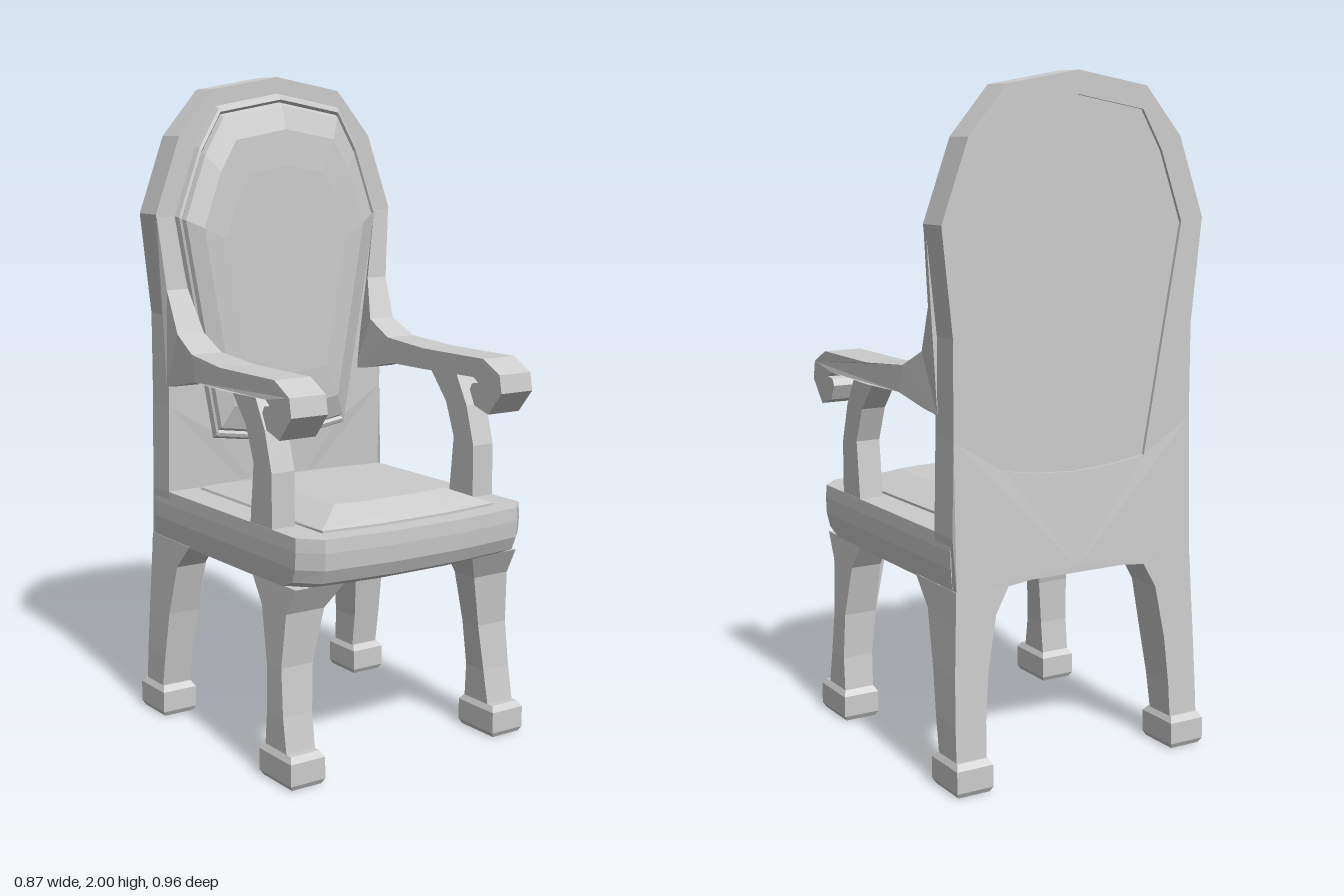
import * as THREE from 'three';

const material = new THREE.MeshStandardMaterial({ color: 0xcccccc, flatShading: true });
const lerp = THREE.MathUtils.lerp;

// Skin a list of equal-length rings of [x, y, z] points and cap both ends
function loft(rings) {
  const n = rings[0].length, pos = [], index = [];
  rings.forEach(r => r.forEach(p => pos.push(...p)));
  for (let k = 0; k < rings.length - 1; k++) {
    for (let i = 0; i < n; i++) {
      const a = k * n + i, b = k * n + (i + 1) % n;
      index.push(a, b, b + n, a, b + n, a + n);
    }
  }
  const cap = (k, flip) => {
    const c = pos.length / 3;
    for (let j = 0; j < 3; j++) pos.push(rings[k].reduce((s, p) => s + p[j], 0) / n);
    for (let i = 0; i < n; i++) {
      const a = k * n + i, b = k * n + (i + 1) % n;
      index.push(...(flip ? [c, b, a] : [c, a, b]));
    }
  };
  cap(0, true);
  cap(rings.length - 1, false);
  let g = new THREE.BufferGeometry();
  g.setAttribute('position', new THREE.Float32BufferAttribute(pos, 3));
  g.setIndex(index);
  g = g.toNonIndexed();
  g.computeVertexNormals();
  return g;
}

// Rectangular ring at height y; side mirrors it across x
const rect = (side, y, xIn, xOut, z0, z1) => {
  const a = Math.min(side * xIn, side * xOut), b = Math.max(side * xIn, side * xOut);
  return [[a, y, z0], [a, y, z1], [b, y, z1], [b, y, z0]];
};

// Full outline from its right half, bottom centre to top centre
const mirrorOutline = half =>
  [...half, ...half.slice(1, -1).reverse().map(([x, y]) => [-x, y])];
const toVectors = pts => pts.map(p => new THREE.Vector2(...p));

// Extrude a [z, y] profile across x, between inner and outer limits given per point
function sideSlab(side, profile, inner, outer) {
  const g = new THREE.ExtrudeGeometry(new THREE.Shape(toVectors(profile)), { depth: 1, bevelEnabled: false });
  g.rotateY(-Math.PI / 2);
  const p = g.attributes.position;
  for (let i = 0; i < p.count; i++) {
    const y = p.getY(i), z = p.getZ(i), t = -p.getX(i);
    const a = inner(y, z), b = outer(y, z);
    p.setX(i, side > 0 ? lerp(b, a, t) : lerp(-a, -b, t));
  }
  g.computeVertexNormals();
  return g;
}

export function createModel() {
  const chair = new THREE.Group();
  chair.name = 'armchair';
  const add = (name, geometry) => {
    const mesh = new THREE.Mesh(geometry, material);
    mesh.name = name;
    chair.add(mesh);
  };

  // Back frame with an opening for the upholstery
  const frame = mirrorOutline([[0, 0.6], [0.23, 0.575], [0.4, 0.575], [0.405, 0.73], [0.4, 1],
    [0.4, 1.28], [0.434, 1.587], [0.35, 1.82], [0.23, 1.96], [0, 2]]);
  const pad = mirrorOutline([[0, 0.86], [0.13, 0.868], [0.245, 0.885], [0.305, 1.22], [0.37, 1.58],
    [0.295, 1.79], [0.225, 1.91], [0, 1.95]]);
  const scaled = s => pad.map(([x, y]) => [x * s, 1.4 + (y - 1.4) * s]);
  const shape = new THREE.Shape(toVectors(frame));
  shape.holes.push(new THREE.Path(toVectors(scaled(0.97))));
  const back = new THREE.ExtrudeGeometry(shape, { depth: 0.102, bevelEnabled: false });
  back.translate(0, 0, -0.42);
  const bp = back.attributes.position;
  for (let i = 0; i < bp.count; i++) {
    if (bp.getY(i) < 0.65) bp.setZ(i, bp.getZ(i) - 0.014);
  }
  back.computeVertexNormals();
  add('backFrame', back);

  // Upholstered back with a raised border, recessed slightly behind
  add('backCushion', loft([[0.97, -0.41], [0.97, -0.33], [1, -0.32], [0.985, -0.3], [0.965, -0.296],
    [0.95, -0.306], [0.935, -0.29], [0.8, -0.266], [0.6, -0.26]]
    .map(([s, z]) => scaled(s).map(([x, y]) => [x, y, z]))));

  // Seat frame with bowed, rounded front
  add('seatFrame', loft([[0.575, -0.08, 0.4], [0.6, -0.022, 0.402], [0.64, -0.004, 0.405],
    [0.69, 0, 0.405], [0.73, -0.002, 0.403]].map(([y, f, w]) => [
    [-w, y, -0.41], [-w, y, 0.395 + f], [-0.345, y, 0.455 + f], [-0.12, y, 0.478 + f],
    [0.12, y, 0.478 + f], [0.345, y, 0.455 + f], [w, y, 0.395 + f], [w, y, -0.41]])));

  // Seat cushion: corner width front and back, front and back depth
  add('seatCushion', loft([[0.71, 0.31, 0.31, 0.387, -0.31, 0.02], [0.737, 0.31, 0.3, 0.387, -0.3, 0.02],
    [0.75, 0.275, 0.27, 0.355, -0.26, 0.025], [0.78, 0.2, 0.2, 0.285, -0.132, 0.016]]
    .map(([y, wf, wb, zf, zb, bow]) => [
      [-wb, y, zb], [-wf, y, zf], [-0.12, y, zf + bow], [0.12, y, zf + bow],
      [wf, y, zf], [wb, y, zb], [0, y, zb - bow]])));

  // Arm profile with scrolled end, sweeping up into the back
  const arm = [[-0.33, 1.58], [-0.317, 1.58], [-0.3, 1.36], [-0.25, 1.23], [-0.15, 1.18], [0.04, 1.165],
    [0.33, 1.165], [0.405, 1.125], [0.415, 1.07], [0.355, 1], [0.29, 1.02], [0.268, 1.065],
    [0.278, 1.085], [0.307, 1.09], [0.285, 1.105], [0.04, 1.1], [-0.13, 1.1], [-0.26, 1.07], [-0.33, 1.06]];
  const armInner = y => lerp(0.31, 0.375, THREE.MathUtils.smoothstep(y, 1.18, 1.58));
  const armOuter = (y, z) => y > 1.25
    ? lerp(0.4, 0.432, (y - 1.25) / 0.33)
    : lerp(0.4, 0.43, THREE.MathUtils.clamp((z + 0.3) / 0.34, 0, 1));
  const support = [[0.27, 0.72], [0.27, 0.89], [0.235, 1.01], [0.18, 1.11], [0.05, 1.11],
    [0.135, 1.01], [0.175, 0.905], [0.155, 0.72]];

  // Leg sections: y, inner x, outer x, back z, front z
  const frontLeg = [[0.08, 0.32, 0.417, 0.25, 0.365], [0.2, 0.317, 0.416, 0.26, 0.344],
    [0.34, 0.305, 0.412, 0.254, 0.33], [0.5, 0.275, 0.404, 0.217, 0.344], [0.58, 0.23, 0.4, 0.16, 0.388]];
  const rearLeg = [[0.08, 0.32, 0.417, -0.46, -0.36], [0.2, 0.317, 0.416, -0.452, -0.34],
    [0.34, 0.305, 0.412, -0.444, -0.317], [0.5, 0.275, 0.405, -0.437, -0.275], [0.58, 0.23, 0.402, -0.434, -0.2]];

  for (const side of [1, -1]) {
    const label = side > 0 ? 'left' : 'right';
    add(label + 'Arm', sideSlab(side, arm, armInner, armOuter));
    add(label + 'ArmSupport', sideSlab(side, support, () => 0.325, () => 0.402));

    // Each leg has two brackets, one flaring along the side and one across
    for (const [place, leg, z0, z1] of [['Front', frontLeg, 0.235, 0.4], ['Rear', rearLeg, -0.48, -0.335]]) {
      add(label + place + 'Leg', loft(leg.map(([y, xi, xo, za, zb]) =>
        rect(side, y, Math.max(xi, 0.305), xo, za, zb))));
      add(label + place + 'LegBracket', loft(leg.map(([y, xi, xo, za, zb]) =>
        rect(side, y, xi, xo, place === 'Front' ? Math.max(za, 0.25) : za,
          place === 'Rear' ? Math.min(zb, -0.317) : zb))));
      add(label + place + 'Foot', loft([
        rect(side, 0, 0.318, 0.418, z0 + 0.008, z1 - 0.008), rect(side, 0.015, 0.31, 0.427, z0, z1),
        rect(side, 0.08, 0.31, 0.427, z0, z1), rect(side, 0.097, 0.32, 0.417, z0 + 0.015, z1 - 0.015)]));
    }
  }
  return chair;
}
